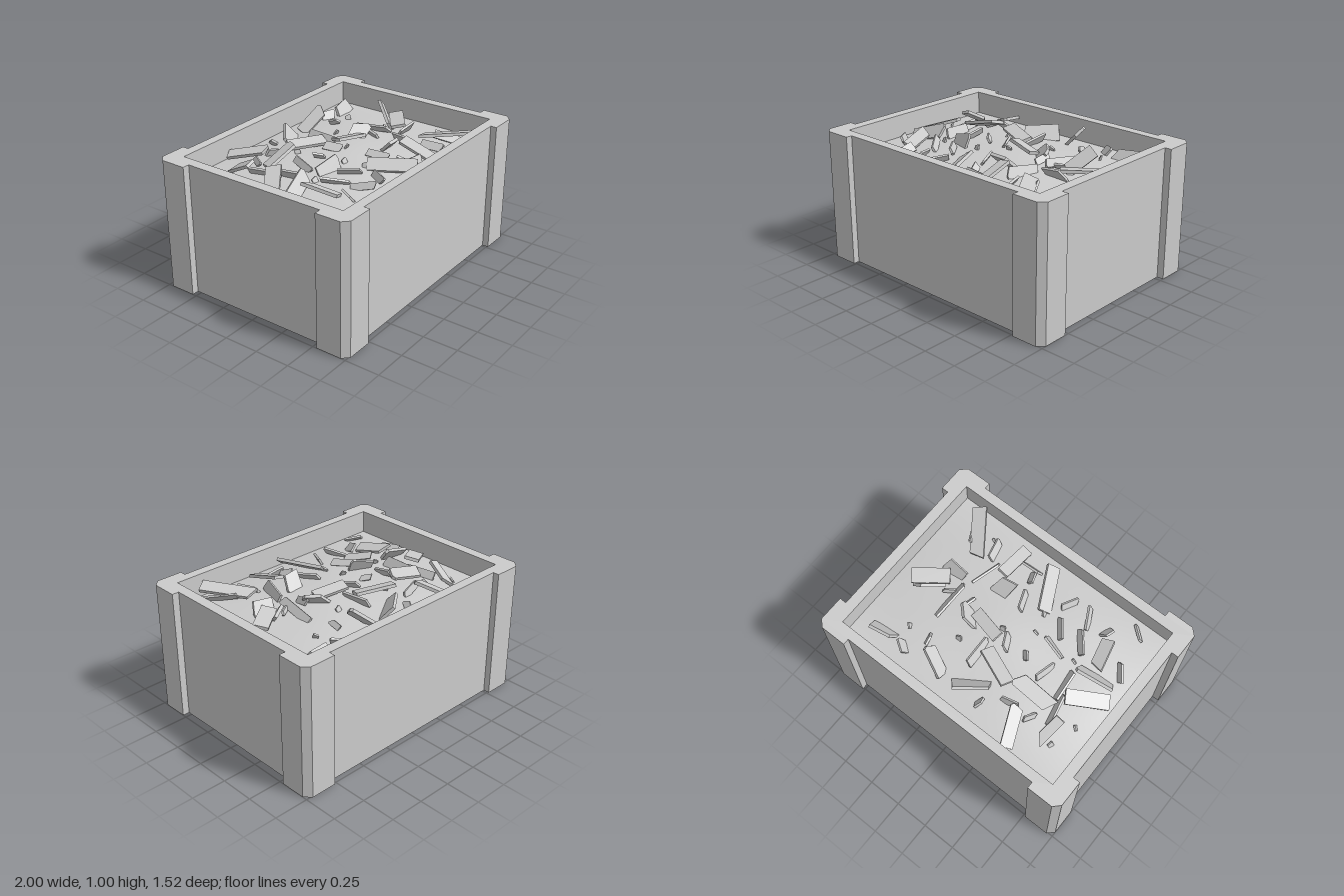
import * as THREE from 'three';

const mat = new THREE.MeshStandardMaterial({ color: 0xcccccc });
const flat = new THREE.MeshStandardMaterial({ color: 0xcccccc, flatShading: true });

const HEIGHT = 0.95;
const INNER_X = 0.875, INNER_Z = 0.645;

// Height of the heaped filling: a low mound with gentle bumps
function fillHeight(x, z) {
  const mound = (1 - (x / INNER_X) ** 2) * (1 - (z / INNER_Z) ** 2);
  return 0.785 + 0.065 * mound + 0.006 * Math.sin(7 * x + 1) * Math.cos(8 * z) * mound;
}

function seeded(seed) {
  return () => {
    seed = (seed * 16807) % 2147483647;
    return seed / 2147483647;
  };
}

// Crate shell: straight walls with chamfered corner posts, open in the middle
function createShell() {
  const quarter = [[0.95, 0.53], [1, 0.53], [1, 0.715], [0.955, 0.76], [0.765, 0.76], [0.765, 0.715]];
  const reversed = [...quarter].reverse();
  const points = [
    ...quarter,
    ...reversed.map(([x, y]) => [-x, y]),
    ...quarter.map(([x, y]) => [-x, -y]),
    ...reversed.map(([x, y]) => [x, -y]),
  ].map(([x, y]) => new THREE.Vector2(x, y));
  const shape = new THREE.Shape(points);
  const hole = [[1, 1], [1, -1], [-1, -1], [-1, 1]].map(([x, y]) => new THREE.Vector2(x * INNER_X, y * INNER_Z));
  shape.holes.push(new THREE.Path(hole));
  const geo = new THREE.ExtrudeGeometry(shape, { depth: HEIGHT, bevelEnabled: false });
  geo.rotateX(-Math.PI / 2);
  const mesh = new THREE.Mesh(geo, mat);
  mesh.name = 'crateShell';
  return mesh;
}

function createFloor() {
  const mesh = new THREE.Mesh(new THREE.BoxGeometry(INNER_X * 2, 0.06, INNER_Z * 2), mat);
  mesh.position.y = 0.03;
  mesh.name = 'crateFloor';
  return mesh;
}

function createFilling() {
  const geo = new THREE.PlaneGeometry(INNER_X * 2, INNER_Z * 2, 28, 20);
  geo.rotateX(-Math.PI / 2);
  const pos = geo.attributes.position;
  for (let i = 0; i < pos.count; i++) pos.setY(i, fillHeight(pos.getX(i), pos.getZ(i)));
  geo.computeVertexNormals();
  const mesh = new THREE.Mesh(geo, mat);
  mesh.name = 'filling';
  return mesh;
}

// Splintered board between two points, rolled about its length, with slanted ends
function createChip(a, b, width, thickness, roll, cutA, cutB) {
  const len = a.distanceTo(b), w = width / 2;
  const shape = new THREE.Shape([
    [-len / 2, -w], [len / 2 - cutB, -w], [len / 2, w * 0.5], [len / 2 - cutB * 0.3, w], [-len / 2 + cutA, w],
  ].map(([x, y]) => new THREE.Vector2(x, y)));
  const geo = new THREE.ExtrudeGeometry(shape, { depth: thickness, bevelEnabled: false });
  geo.translate(0, 0, -thickness / 2);
  const dir = b.clone().sub(a).normalize();
  const side = new THREE.Vector3(0, 1, 0).cross(dir).normalize().applyAxisAngle(dir, roll);
  const normal = dir.clone().cross(side);
  geo.applyMatrix4(new THREE.Matrix4().makeBasis(dir, side, normal));
  const mesh = new THREE.Mesh(geo, flat);
  mesh.position.copy(a).add(b).multiplyScalar(0.5);
  return mesh;
}

// Large boards: x, z and height over the filling at each end, then width and roll in degrees
const boards = [
  [-0.48, -0.62, 0.04, -0.37, -0.36, 0.07, 0.085, 15],
  [-0.61, -0.47, 0.01, -0.65, -0.27, 0.11, 0.07, 20],
  [-0.82, 0.04, 0.03, -0.58, -0.13, 0.09, 0.105, -12],
  [-0.56, -0.23, 0.04, -0.25, -0.23, 0.1, 0.105, -20],
  [-0.23, -0.29, 0.06, 0.03, -0.18, 0.03, 0.095, 15],
  [-0.15, -0.34, 0.01, 0.06, -0.51, 0.05, 0.13, 48],
  [0.16, -0.49, 0.0, 0.33, -0.42, 0.14, 0.09, 30],
  [0.55, -0.47, 0.01, 0.76, -0.51, 0.04, 0.1, 50],
  [0.02, -0.08, 0.05, 0.25, -0.02, 0.03, 0.085, -15],
  [0.2, -0.14, 0.03, 0.34, 0.0, 0.03, 0.13, 50],
  [0.56, 0.08, 0.04, 0.77, -0.08, 0.06, 0.105, -10],
  [0.55, 0.03, 0.0, 0.66, -0.14, 0.15, 0.09, 55],
  [-0.77, 0.14, 0.01, -0.51, 0.08, 0.07, 0.1, 50],
  [-0.62, 0.14, 0.07, -0.56, 0.38, 0.03, 0.09, -18],
  [-0.1, 0.27, 0.02, 0.05, 0.57, 0.07, 0.1, 35],
  [0.13, 0.24, 0.04, 0.3, 0.22, 0.03, 0.14, -45],
  [0.28, 0.3, 0.08, 0.28, 0.57, 0.03, 0.085, 12],
  [0.5, 0.29, 0.04, 0.72, 0.6, 0.1, 0.1, -15],
];

// Narrow splinters: x and z at each end, then width
const splinters = [
  [-0.6, -0.33, -0.55, -0.1, 0.06], [0.6, 0.36, 0.73, 0.6, 0.06], [0.42, 0.14, 0.35, 0.36, 0.08],
  [0.09, 0.48, 0.24, 0.48, 0.07], [-0.53, -0.17, -0.51, 0.06, 0.08], [0.06, -0.34, 0.07, -0.12, 0.07],
  [0.46, -0.2, 0.44, 0.09, 0.06], [0.43, 0.35, 0.47, 0.51, 0.06], [0.48, 0.13, 0.65, 0.14, 0.11],
  [-0.4, 0.09, -0.22, 0.13, 0.11], [-0.8, 0.19, -0.71, 0.31, 0.05], [-0.73, 0.51, -0.63, 0.6, 0.03],
  [-0.49, 0.17, -0.36, 0.33, 0.05], [-0.4, 0.35, -0.32, 0.5, 0.05], [-0.31, 0.18, -0.21, 0.31, 0.05],
  [-0.17, 0.37, -0.23, 0.49, 0.05], [-0.51, 0.38, -0.53, 0.47, 0.07], [0.03, 0.17, 0.09, 0.32, 0.05],
  [0.1, 0.37, 0.14, 0.47, 0.05], [-0.07, -0.12, -0.01, 0, 0.06], [-0.23, -0.09, -0.17, -0.02, 0.04],
  [-0.35, -0.14, -0.38, 0.02, 0.05], [-0.14, -0.52, -0.17, -0.46, 0.05], [-0.45, -0.41, -0.5, -0.32, 0.04],
  [-0.38, -0.36, -0.24, -0.38, 0.05], [0.45, -0.53, 0.54, -0.47, 0.07], [0.38, -0.4, 0.39, -0.32, 0.04],
  [0.33, 0.06, 0.35, -0.06, 0.05], [0.46, 0.02, 0.54, -0.03, 0.03],
];

// Tiny slivers: centre only
const slivers = [
  [0.55, -0.36], [0.23, -0.23], [-0.75, -0.23], [-0.69, -0.42], [0.5, 0.49], [-0.15, 0.12],
  [-0.47, 0.12], [-0.11, 0.26], [0.04, 0], [-0.2, -0.24],
];

function createChips() {
  const group = new THREE.Group();
  group.name = 'woodChips';
  const rand = seeded(4211);
  const at = (x, z, h) => new THREE.Vector3(x, fillHeight(x, z) + h, z);
  const add = (mesh, name) => {
    mesh.name = name;
    group.add(mesh);
  };
  boards.forEach(([x0, z0, h0, x1, z1, h1, w, roll], i) => {
    const cut = 0.03 + 0.04 * rand();
    add(createChip(at(x0, z0, h0), at(x1, z1, h1), w, 0.022, THREE.MathUtils.degToRad(roll), i % 2 ? cut : 0, i % 3 ? 0 : cut), `board${i + 1}`);
  });
  splinters.forEach(([x0, z0, x1, z1, w], i) => {
    const tilt = 0.05 * (rand() - 0.5);
    const roll = (i % 2 ? 1 : -1) * (0.8 + 0.4 * rand());
    add(createChip(at(x0, z0, 0.025 + tilt), at(x1, z1, 0.025 - tilt), w, 0.016, roll, 0.02 * rand(), 0.02), `splinter${i + 1}`);
  });
  slivers.forEach(([x, z], i) => {
    const angle = rand() * Math.PI, dx = 0.022 * Math.cos(angle), dz = 0.022 * Math.sin(angle);
    add(createChip(at(x - dx, z - dz, 0), at(x + dx, z + dz, 0.02), 0.04, 0.012, 1.1, 0.01, 0.01), `sliver${i + 1}`);
  });
  return group;
}

export function createModel() {
  const model = new THREE.Group();
  model.name = 'crateOfWoodChips';
  model.add(createShell(), createFloor(), createFilling(), createChips());
  return model;
}
